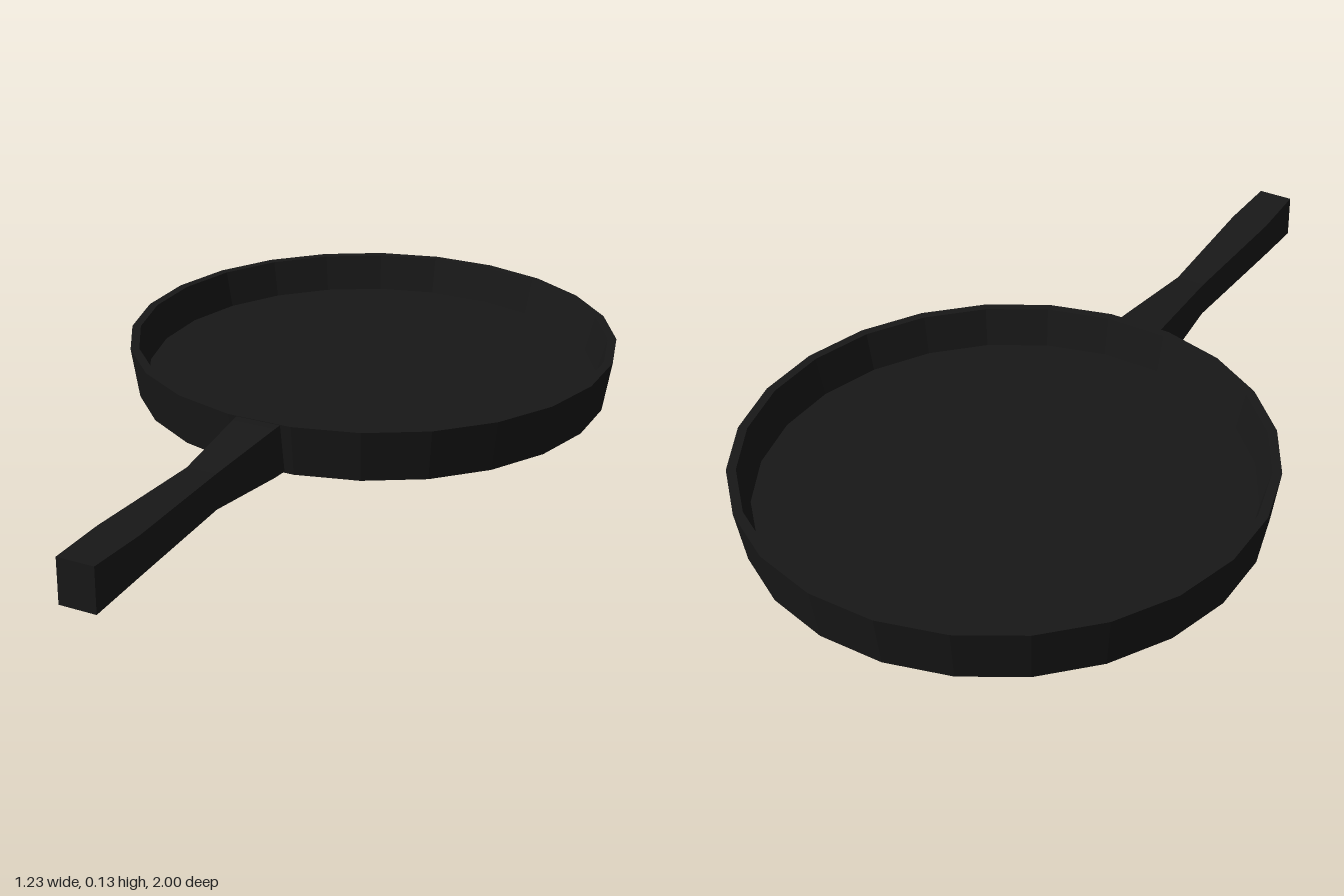
import * as THREE from 'three';

const material = new THREE.MeshStandardMaterial({ color: 0x181818, flatShading: true });

// Closed four-sided loft through rows of [z, bottom, top, halfWidth]
function loftHandle(rows) {
  const pos = [], index = [];
  const cx = -0.003;
  for (const [z, bottom, top, w] of rows)
    pos.push(cx - w, bottom, z, cx + w, bottom, z, cx + w, top, z, cx - w, top, z);
  for (let r = 0; r < rows.length - 1; r++)
    for (let k = 0; k < 4; k++) {
      const a = r * 4 + k, b = r * 4 + (k + 1) % 4;
      index.push(a, b, b + 4, a, b + 4, a + 4);
    }
  const e = (rows.length - 1) * 4;
  index.push(0, 2, 1, 0, 3, 2, e, e + 1, e + 2, e, e + 2, e + 3);
  const geometry = new THREE.BufferGeometry();
  geometry.setAttribute('position', new THREE.Float32BufferAttribute(pos, 3));
  geometry.setIndex(index);
  geometry.computeVertexNormals();
  return geometry;
}

export function createModel() {
  const model = new THREE.Group();
  model.name = 'fryingPan';

  // Shallow flared dish: underside, outer wall, rim, inner wall, floor
  const profile = [
    [0, 0], [0.602, 0], [0.622, 0.13], [0.6, 0.13], [0.577, 0.037], [0, 0.037],
  ].map(([r, y]) => new THREE.Vector2(r, y));
  const dish = new THREE.Mesh(new THREE.LatheGeometry(profile, 24, Math.PI / 24), material);
  dish.name = 'panDish';
  dish.position.z = -0.38;
  model.add(dish);

  // Handle, pinched near the pan and swelling toward the grip
  const handle = new THREE.Mesh(loftHandle([
    [0.215, 0.003, 0.129, 0.058],
    [0.26, 0.005, 0.128, 0.055],
    [0.5, 0.028, 0.115, 0.037],
    [0.84, 0.034, 0.127, 0.05],
    [1.0, 0.024, 0.133, 0.045],
  ]), material);
  handle.name = 'handle';
  model.add(handle);

  return model;
}
